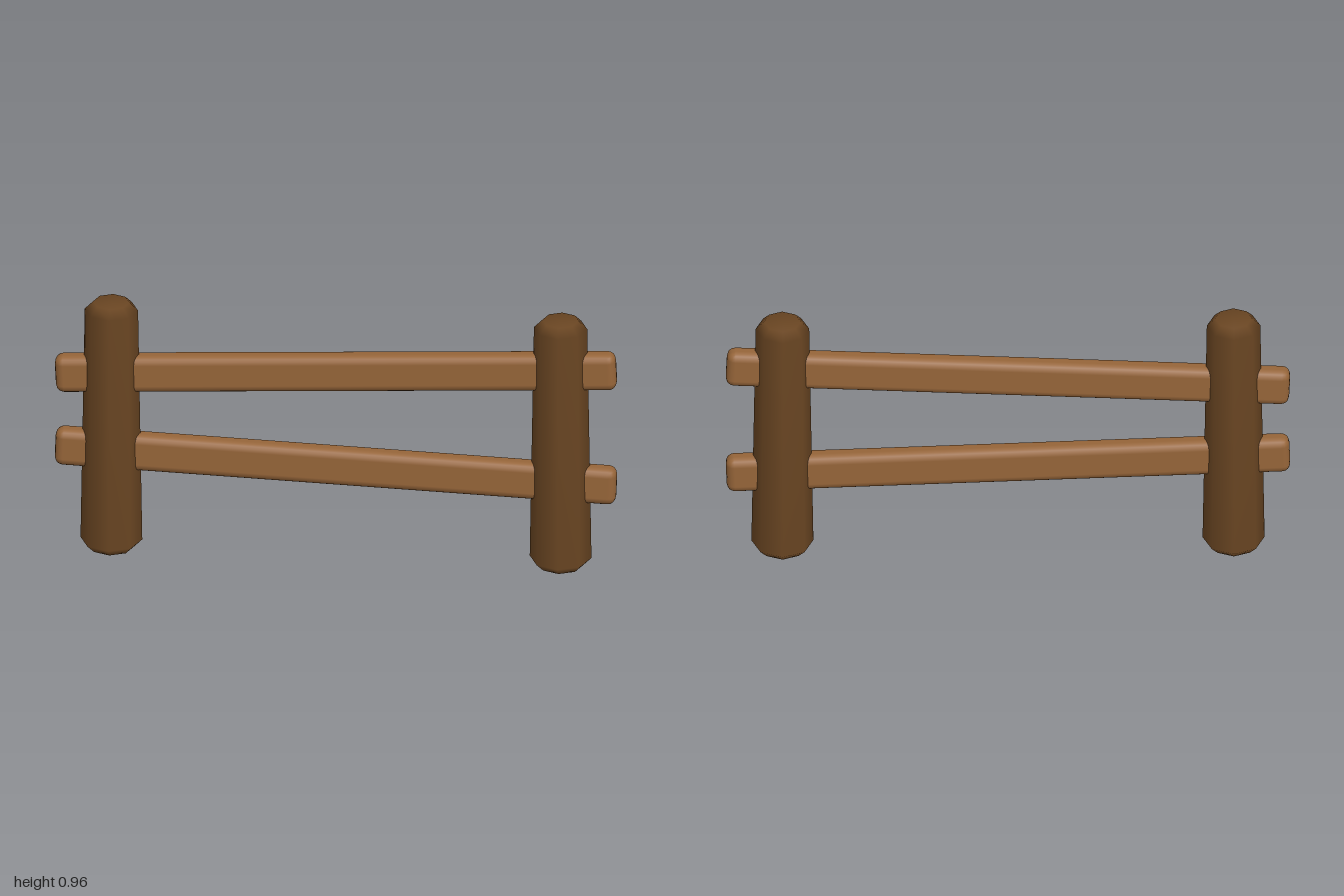
import * as THREE from 'three';
import { RoundedBoxGeometry } from 'three/addons/geometries/RoundedBoxGeometry.js';

const darkWood = new THREE.MeshStandardMaterial({ color: 0x694522 });
darkWood.name = 'dark wood';
const lightWood = new THREE.MeshStandardMaterial({ color: 0x966539 });
lightWood.name = 'light wood';

// Tapered eight-sided post with chamfered ends, smooth normals
function makePost(name, x) {
  const profile = [
    [0, 0], [0.08, 0], [0.11, 0.03], [0.095, 0.93], [0.065, 0.96], [0, 0.96],
  ].map(([r, y]) => new THREE.Vector2(r, y));
  const post = new THREE.Mesh(new THREE.LatheGeometry(profile, 8), darkWood);
  post.name = name;
  post.position.x = x;
  return post;
}

// Rounded plank running through both posts, sloping between its end heights
function makeRail(name, leftY, rightY) {
  const angle = Math.atan2(rightY - leftY, 2);
  const rail = new THREE.Mesh(new RoundedBoxGeometry(2, 0.14, 0.076, 2, 0.03), lightWood);
  rail.name = name;
  rail.position.y = (leftY + rightY) / 2;
  rail.rotation.z = angle;
  return rail;
}

export function createModel() {
  const fence = new THREE.Group();
  fence.name = 'fence';
  fence.add(
    makePost('leftPost', 0.8),
    makePost('rightPost', -0.8),
    makeRail('upperRail', 0.674, 0.772),
    makeRail('lowerRail', 0.39, 0.32),
  );
  return fence;
}
